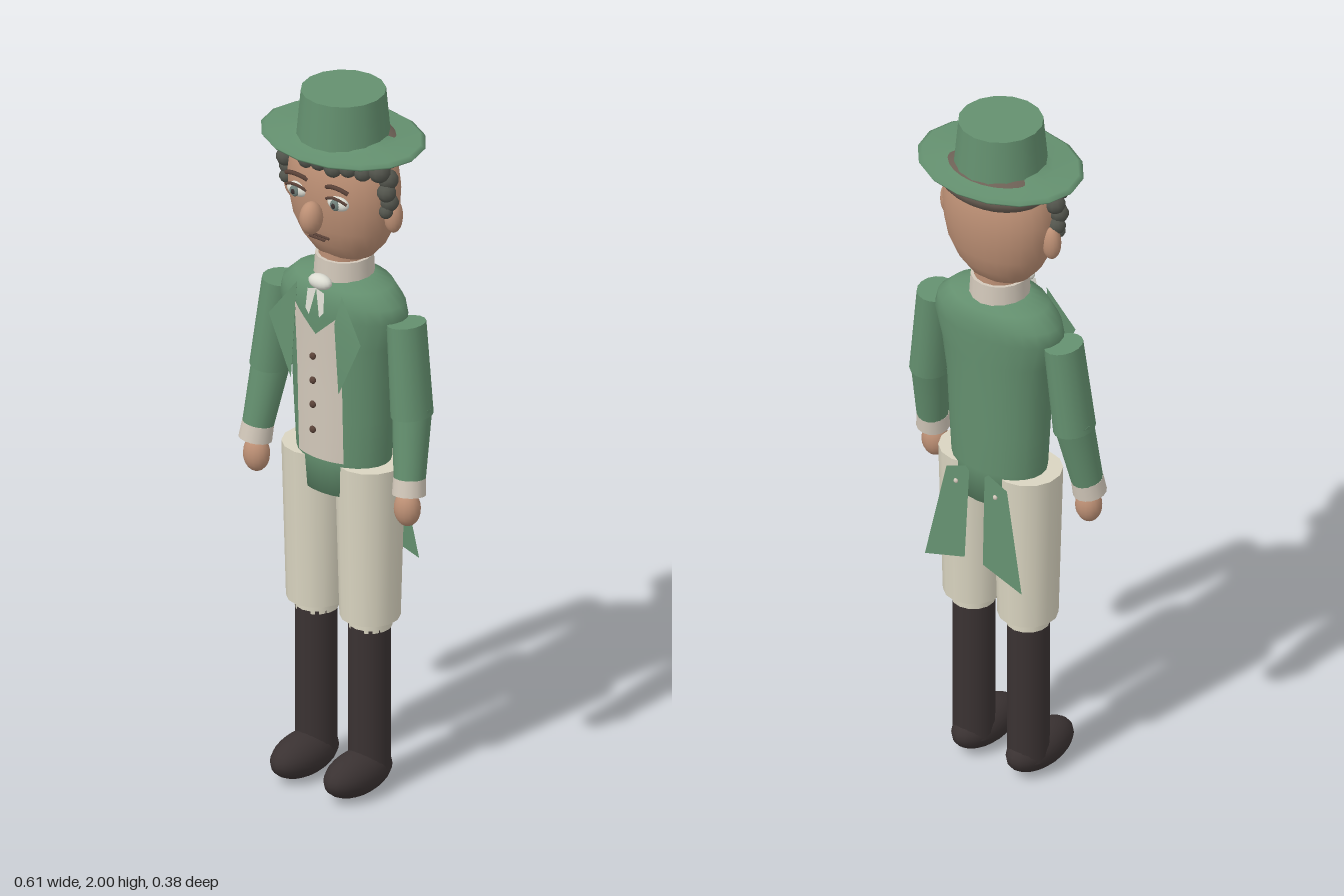
import * as THREE from 'three';
import { mergeVertices } from 'three/addons/utils/BufferGeometryUtils.js';

const paint = (name, color) => {
  const m = new THREE.MeshStandardMaterial({ color, side: THREE.DoubleSide });
  m.name = name;
  return m;
};

export function createModel() {
  const green = paint('coat green', 0x64906f);
  const cream = paint('trouser cream', 0xd9d4c0);
  const linen = paint('linen', 0xd2c8ba);
  const skin = paint('skin', 0xbd9075);
  const hair = paint('curl grey', 0x53554d);
  const capHair = paint('hair brown', 0x6c6055);
  const black = paint('boot black', 0x3a3232);
  const brown = paint('dark brown', 0x5a4238);
  const white = paint('eye white', 0xdcdcd2);
  const iris = paint('iris grey', 0x70807a);

  const model = new THREE.Group();
  model.name = 'gentleman';
  const add = (name, geo, mat, x = 0, y = 0, z = 0) => {
    const m = new THREE.Mesh(geo, mat);
    m.name = name;
    m.position.set(x, y, z);
    model.add(m);
    return m;
  };
  const ball = (name, mat, x, y, z, rx, ry = rx, rz = rx, seg = 16) =>
    add(name, new THREE.SphereGeometry(1, seg, Math.ceil(seg * 0.7)).scale(rx, ry, rz), mat, x, y, z);
  const lathe = (pts, seg) => new THREE.LatheGeometry(pts.map(p => new THREE.Vector2(...p)), seg);
  // Tapered cylinder between two points
  const limb = (name, mat, a, b, ra, rb, seg = 14, depth = 1) => {
    const va = new THREE.Vector3(...a), vb = new THREE.Vector3(...b);
    const geo = new THREE.CylinderGeometry(ra, rb, va.distanceTo(vb), seg).scale(1, 1, depth);
    const m = add(name, geo, mat);
    m.position.copy(va).add(vb).multiplyScalar(0.5);
    m.quaternion.setFromUnitVectors(new THREE.Vector3(0, 1, 0), va.sub(vb).normalize());
    return m;
  };
  // Flat cloth plate, leaning back by a z rule
  const plate = (name, mat, pts, zAt) => {
    const geo = new THREE.ShapeGeometry(new THREE.Shape(pts.map(p => new THREE.Vector2(...p))));
    const p = geo.attributes.position;
    for (let i = 0; i < p.count; i++) p.setZ(i, zAt(p.getX(i), p.getY(i)));
    geo.computeVertexNormals();
    return add(name, geo, mat);
  };

  // Coat body: elliptical sections [y, half width, half depth]
  const body = [[0.86, 0.13, 0.095], [0.96, 0.14, 0.1], [1.08, 0.148, 0.102], [1.2, 0.155, 0.104],
    [1.3, 0.172, 0.107], [1.38, 0.197, 0.11], [1.42, 0.187, 0.108], [1.46, 0.145, 0.098], [1.475, 0.08, 0.07]];
  const section = y => {
    let i = 1;
    while (i < body.length - 1 && body[i][0] < y) i++;
    const a = body[i - 1], b = body[i];
    const t = THREE.MathUtils.clamp((y - a[0]) / (b[0] - a[0]), 0, 1);
    return [a[1] + (b[1] - a[1]) * t, a[2] + (b[2] - a[2]) * t];
  };
  let coat = lathe([[0, 0.86], ...body.map(b => [b[1], b[0]]), [0, 1.476]], 24);
  const cp = coat.attributes.position;
  for (let i = 0; i < cp.count; i++) {
    const [rx, rz] = section(cp.getY(i));
    cp.setZ(i, cp.getZ(i) * rz / rx - 0.004);
  }
  coat.deleteAttribute('normal');
  coat.deleteAttribute('uv');
  coat = mergeVertices(coat, 1e-5);
  coat.computeVertexNormals();
  add('coatBody', coat, green);

  // Waistcoat front with a V neck, following the coat
  const vest = new THREE.PlaneGeometry(1, 1, 8, 10);
  const vp = vest.attributes.position;
  for (let i = 0; i < vp.count; i++) {
    const x = vp.getX(i) * 0.15;
    const top = 1.33 + Math.abs(x) / 0.075 * 0.07;
    const y = 0.965 + (vp.getY(i) + 0.5) * (top - 0.965);
    const [rx, rz] = section(y);
    vp.setXYZ(i, x, y, rz * Math.sqrt(1 - (x / rx) ** 2) + 0.006);
  }
  vest.computeVertexNormals();
  add('waistcoat', vest, linen);
  for (const y of [1.27, 1.2, 1.13, 1.057]) ball('waistcoatButton', brown, 0, y, 0.126, 0.01, 0.01, 0.007, 10);

  // Collar and cravat
  add('neck', new THREE.CylinderGeometry(0.068, 0.068, 0.1, 16), skin, 0, 1.51, -0.004);
  add('collar', new THREE.CylinderGeometry(0.077, 0.082, 0.08, 16), linen, 0, 1.487, -0.004);
  ball('cravatKnot', white, 0, 1.475, 0.095, 0.036, 0.021, 0.022);

  for (const s of [-1, 1]) {
    plate('cravatTail', white, [[0, 1.462], [s * 0.028, 1.455], [s * 0.03, 1.4], [s * 0.017, 1.385]],
      (x, y) => 0.112 + (1.46 - y) * 0.12);
    plate('lapel', green, [[s * 0.075, 1.455], [s * 0.155, 1.345], [s * 0.08, 1.18], [s * 0.066, 1.38]],
      (x, y) => y > 1.4 ? 0.098 : 0.118);
    plate('coatTail', green, [[s * 0.025, 0.96], [s * 0.1, 0.93], [s * 0.16, 0.64], [s * 0.03, 0.68]],
      (x, y) => -0.1 - (0.96 - y) * 0.05);
    ball('tailButton', linen, s * 0.065, 0.9, -0.107, 0.007, 0.007, 0.005, 8);

    // Arm
    const elbow = [s * 0.238, 1.13, 0.008], wrist = [s * 0.256, 0.955, 0.04];
    limb('upperSleeve', green, [s * 0.21, 1.385, -0.003], elbow, 0.049, 0.053, 16, 1.15);
    limb('lowerSleeve', green, [s * 0.236, 1.15, 0.005], wrist, 0.053, 0.042, 16);
    limb('cuff', linen, [s * 0.255, 0.965, 0.039], [s * 0.259, 0.92, 0.046], 0.043, 0.045, 16);
    ball('hand', skin, s * 0.254, 0.878, 0.047, 0.037, 0.05, 0.034);

    // Leg
    const breeches = new THREE.CylinderGeometry(0.092, 0.08, 0.45, 14);
    add('breeches', breeches, cream, s * 0.09, 0.725, 0);
    add('kneeBand', new THREE.CylinderGeometry(0.058, 0.058, 0.04, 14), cream, s * 0.09, 0.49, 0);
    add('boot', new THREE.CylinderGeometry(0.056, 0.056, 0.425, 16), black, s * 0.09, 0.265, 0.002);
    ball('foot', black, s * 0.09, 0.06, 0.05, 0.063, 0.06, 0.12, 20);

    // Eye, brow, ear
    const x = s * 0.068;
    ball('eye', white, x, 1.727, 0.104, 0.034, 0.02, 0.018);
    ball('iris', iris, x, 1.727, 0.118, 0.015, 0.016, 0.008, 12);
    ball('pupil', black, x, 1.727, 0.124, 0.007, 0.008, 0.004, 10);
    const arc = (name, y, w, rise, z, r) => add(name, new THREE.TubeGeometry(new THREE.QuadraticBezierCurve3(
      new THREE.Vector3(x - w, y, z), new THREE.Vector3(x, y + rise, z + 0.014),
      new THREE.Vector3(x + w, y, z)), 8, r, 6), brown);
    arc('upperLid', 1.734, 0.034, 0.024, 0.111, 0.004);
    arc('brow', 1.766, 0.036, 0.02, 0.108, 0.006);
    ball('ear', skin, s * 0.168, 1.685, 0, 0.027, 0.05, 0.024);

    // Side curls
    [[0.158, 1.825, 0.045, 0.03], [0.166, 1.795, 0.018, 0.028], [0.17, 1.762, 0.03, 0.026],
      [0.17, 1.73, 0.018, 0.025], [0.168, 1.706, 0.03, 0.019]]
      .forEach(([cx, y, z, r]) => ball('sideCurl', hair, s * cx, y, z, r, r, r, 10));
  }

  // Head
  const head = lathe([[0, 1.515], [0.05, 1.52], [0.09, 1.54], [0.125, 1.58], [0.15, 1.63], [0.163, 1.69],
    [0.166, 1.74], [0.158, 1.8], [0.13, 1.845], [0.07, 1.87], [0, 1.875]], 28);
  add('head', head.scale(1, 1, 0.715), skin, 0, 0, -0.004);
  ball('nose', skin, 0, 1.675, 0.132, 0.03, 0.046, 0.034);
  for (const [y, w] of [[1.616, 0.042], [1.607, 0.026]])
    add('lip', new THREE.CapsuleGeometry(0.004, w * 1.8, 3, 6).rotateZ(Math.PI / 2), brown, 0, y, 0.108);

  // Hair cap and fringe curls
  ball('hairCap', capHair, 0, 1.835, -0.024, 0.166, 0.066, 0.125, 24);
  for (let i = 0; i < 9; i++) {
    const a = (i - 4) / 4 * 1.15;
    ball('fringeCurl', hair, Math.sin(a) * 0.155, 1.826 - (i % 2) * 0.008, Math.cos(a) * 0.1, 0.026, 0.024, 0.024, 10);
  }

  // Hat: oval brim, tapered round crown
  const brim = lathe([[0, 1.858], [0.215, 1.856], [0.23, 1.86], [0.236, 1.867], [0.222, 1.874],
    [0.15, 1.873], [0.12, 1.885]], 16);
  add('hatBrim', brim.scale(1, 1, 0.795), green);
  add('hatCrown', new THREE.CylinderGeometry(0.112, 0.124, 0.13, 16), green, 0, 1.935, 0);

  return model;
}
